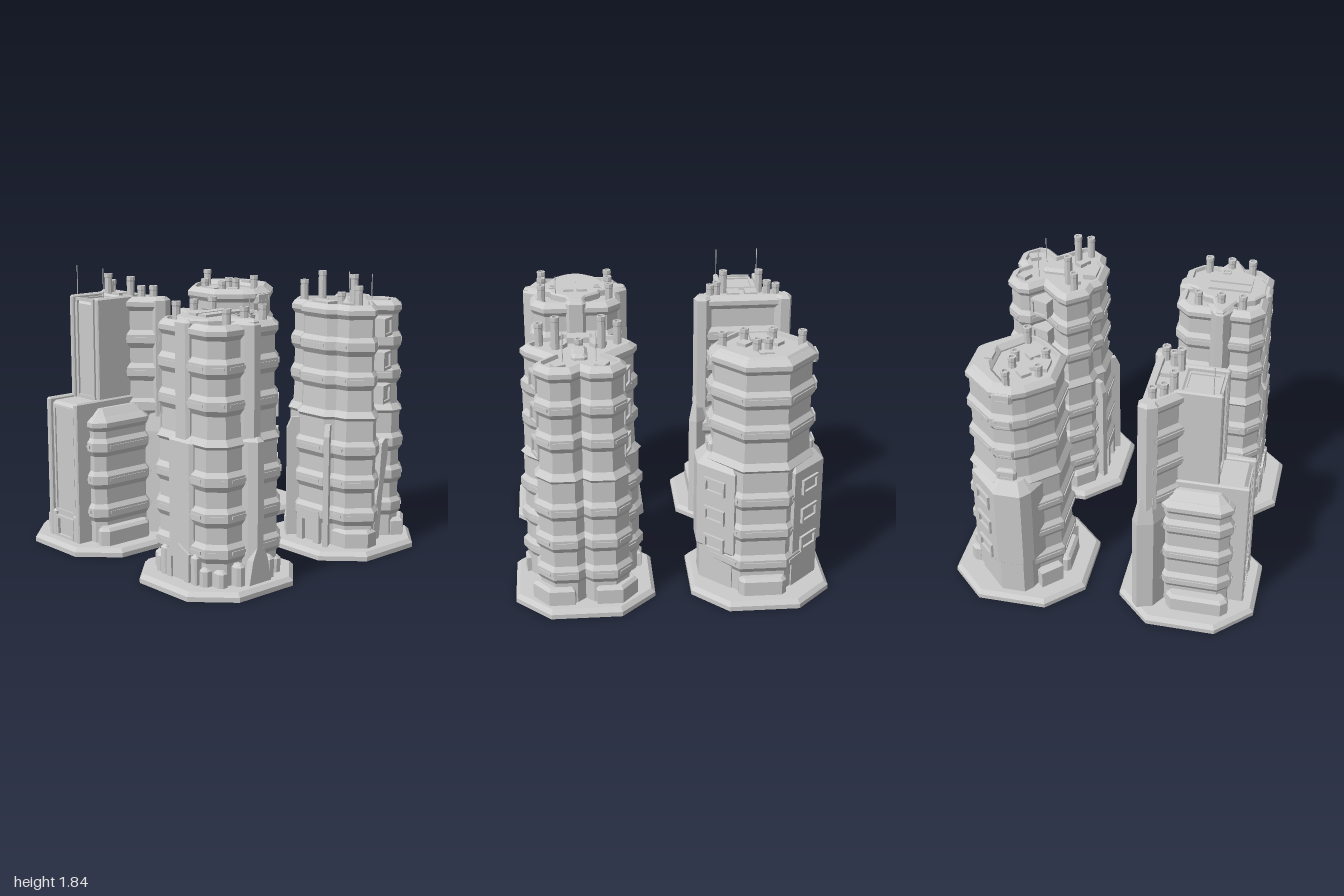
import * as THREE from 'three';

const mat = new THREE.MeshStandardMaterial({ color: 0xcccccc, flatShading: true, side: THREE.DoubleSide });

function add(g, name, geo) {
  const m = new THREE.Mesh(geo, mat);
  m.name = name;
  g.add(m);
  return m;
}

// mirror a half outline (x >= 0, listed back to front) into a closed outline
const sym = h => [...h, ...h.filter(p => p[0] > 0).reverse().map(([x, z]) => [-x, z])];

// rectangle with cut corners
function rect(x, z, hx, hz, c = 0.02) {
  return [[hx - c, -hz], [hx, c - hz], [hx, hz - c], [hx - c, hz], [c - hx, hz], [-hx, hz - c], [-hx, c - hz], [c - hx, -hz]]
    .map(([a, b]) => [a + x, b + z]);
}

// outward normal and length of each outline edge
function normals(p) {
  return p.map((a, i) => {
    const b = p[(i + 1) % p.length], l = Math.hypot(b[0] - a[0], b[1] - a[1]);
    return [(b[1] - a[1]) / l, (a[0] - b[0]) / l, l];
  });
}

// stack of rings: each level is [height, outward offset of the outline]
function loft(g, name, outline, levels) {
  const area = outline.reduce((s, a, i) => {
    const b = outline[(i + 1) % outline.length];
    return s + a[0] * b[1] - b[0] * a[1];
  }, 0);
  const p = area < 0 ? [...outline].reverse() : outline;
  const n = p.length, ns = normals(p), pos = [], idx = [];
  for (const [y, o] of levels) p.forEach((q, i) => {
    const a = ns[(i + n - 1) % n], b = ns[i], k = o / (1 + a[0] * b[0] + a[1] * b[1]);
    pos.push(q[0] + (a[0] + b[0]) * k, y, q[1] + (a[1] + b[1]) * k);
  });
  for (let r = 0; r < levels.length - 1; r++) for (let i = 0; i < n; i++) {
    const a = r * n + i, b = r * n + (i + 1) % n;
    idx.push(a, a + n, b + n, a, b + n, b);
  }
  const top = (levels.length - 1) * n;
  for (const [a, b, c] of THREE.ShapeUtils.triangulateShape(p.map(q => new THREE.Vector2(...q)), [])) {
    idx.push(a, b, c, top + a, top + c, top + b);
  }
  const geo = new THREE.BufferGeometry();
  geo.setAttribute('position', new THREE.Float32BufferAttribute(pos, 3));
  geo.setIndex(idx);
  const flat = geo.toNonIndexed();
  flat.computeVertexNormals();
  add(g, name, flat);
}

// upright block with a bevelled top
const block = (g, name, outline, y0, y1, b = 0.02) => loft(g, name, outline, [[y0, 0], [y1 - b, 0], [y1, -b]]);

function box(g, name, x, y, z, w, h, d, ry = 0) {
  const m = add(g, name, new THREE.BoxGeometry(w, h, d));
  m.position.set(x, y, z);
  m.rotation.y = ry;
}

// framed window or panel
function frame(g, name, x, y, z, w, h, ry = 0, t = 0.018, d = 0.015) {
  const s = new THREE.Shape([[-w, -h], [w, -h], [w, h], [-w, h]].map(q => new THREE.Vector2(q[0] / 2, q[1] / 2)));
  const a = w / 2 - t, b = h / 2 - t;
  s.holes.push(new THREE.Path([[-a, -b], [-a, b], [a, b], [a, -b]].map(q => new THREE.Vector2(...q))));
  const m = add(g, name, new THREE.ExtrudeGeometry(s, { depth: d, bevelEnabled: false }));
  m.position.set(x, y, z);
  m.rotation.y = ry;
  return m;
}

// extruded outline facing the front, or a side when turned
function plate(g, name, pts, depth, x, z, ry = 0) {
  const m = add(g, name, new THREE.ExtrudeGeometry(new THREE.Shape(pts.map(q => new THREE.Vector2(...q))), { depth, bevelEnabled: false }));
  m.position.set(x, 0, z);
  m.rotation.y = ry;
}

const F = 0.022;
const flare = (y, o) => [[y - 0.065, o], [y - 0.03, o + F], [y + 0.025, o + F], [y + 0.055, o]];

// ribbed floors with a sunken roof and a slot along every rib
function body(g, outline, low, ribsLow, ribsHigh, top) {
  const levels = [[0.05, low], ...ribsLow.flatMap(y => flare(y, low))];
  if (ribsHigh.length) levels.push([0.89, low], [0.91, low + 0.015], [0.95, 0.005], ...ribsHigh.flatMap(y => flare(y, 0)));
  const o = ribsHigh.length ? 0 : low;
  levels.push([top - 0.09, o], [top - 0.06, o + 0.02], [top - 0.03, o + 0.02], [top, o - 0.015], [top, o - 0.03], [top - 0.025, o - 0.035]);
  loft(g, 'ribbedBody', outline, levels);
  normals(outline).forEach(([nx, nz, l], i) => {
    if (l < 0.09) return;
    const a = outline[i], b = outline[(i + 1) % outline.length];
    for (const y of [...ribsLow, ...ribsHigh]) {
      const e = F + (y < 0.9 ? low : 0);
      box(g, 'ribSlot', (a[0] + b[0]) / 2 + nx * e, y, (a[1] + b[1]) / 2 + nz * e, l * 0.92, 0.02, 0.012, Math.atan2(nx, nz));
    }
  });
}

function chimney(g, x, z, y1, y0 = 1.58) {
  const r = 0.028;
  const pts = [[0, y0], [r * 0.92, y0], [r * 0.92, y1 - 0.03], [r, y1 - 0.025], [r, y1], [r * 0.6, y1], [r * 0.6, y1 - 0.015], [0, y1 - 0.015]];
  add(g, 'chimney', new THREE.LatheGeometry(pts.map(q => new THREE.Vector2(...q)), 8)).position.set(x, 0, z);
}

function antenna(g, x, z, y0, y1) {
  add(g, 'antenna', new THREE.CylinderGeometry(0.003, 0.003, y1 - y0, 5)).position.set(x, (y0 + y1) / 2, z);
}

function tower(root, name, x, z) {
  const g = new THREE.Group();
  g.name = name;
  g.position.set(x, 0, z);
  root.add(g);
  loft(g, 'base', rect(0, 0, 0.442, 0.442, 0.22), [[0, 0], [0.03, 0], [0.055, -0.025]]);
  return g;
}

const LOW = [0.26, 0.48, 0.7], HIGH = [1.15, 1.37], SIDES = [-1, 1];

// stepped tower with a tall front slab
function slabTower(root) {
  const g = tower(root, 'frontRightTower', -0.558, 0.558);
  body(g, sym([[0.27, -0.28], [0.29, -0.26], [0.29, -0.22], [0.13, -0.07]]), 0, [...LOW, 0.92], HIGH, 1.64);
  const wing = sym([[0.22, -0.16], [0.26, -0.12], [0.26, 0.2], [0.21, 0.26]]);
  body(g, wing, 0, LOW, [], 0.89);
  block(g, 'wingRoof', wing, 0.85, 0.94, 0.07);
  block(g, 'lowerSlab', rect(0, 0.1, 0.15, 0.24), 0.05, 0.97);
  block(g, 'upperSlab', rect(0, 0, 0.14, 0.15, 0.01), 0.9, 1.62);
  frame(g, 'lowerPanel', 0, 0.585, 0.335, 0.22, 0.72);
  frame(g, 'upperPanel', 0, 1.31, 0.147, 0.19, 0.66);
  frame(g, 'slabRoofRim', 0, 1.615, 0.03, 0.2, 0.22).rotation.x = -Math.PI / 2;
  frame(g, 'entrance', 0, 0.125, 0.335, 0.19, 0.15, 0, 0.02, 0.025);
  for (const s of SIDES) {
    block(g, 'lowerPillar', rect(s * 0.145, 0.11, 0.02, 0.255, 0.008), 0.05, 0.99, 0.01);
    block(g, 'upperPillar', rect(s * 0.135, 0.02, 0.018, 0.15, 0.008), 0.9, 1.65, 0.01);
    block(g, 'doorPost', rect(s * 0.115, 0.34, 0.02, 0.02, 0.005), 0.05, 0.24);
    block(g, 'sidePlinth', rect(s * 0.28, 0.08, 0.055, 0.2, 0.04), 0.05, 0.17);
    // corner buttress leaning back into the column above it
    loft(g, 'cornerButtress', [[s * 0.23, -0.27], [s * 0.31, -0.34], [s * 0.36, -0.3], [s * 0.33, -0.2], [s * 0.23, -0.14]],
      [[0.05, 0], [0.75, 0], [0.93, -0.03]]);
    block(g, 'cornerColumn', [[s * 0.2, -0.27], [s * 0.25, -0.315], [s * 0.31, -0.31], [s * 0.33, -0.25], [s * 0.3, -0.19], [s * 0.22, -0.2]], 0.85, 1.64);
    [[0.22, -0.24, 1.71], [0.17, -0.18, 1.71], [0.12, -0.13, 1.77]].forEach(([x, z, y]) => chimney(g, s * x, z, y));
    box(g, 'roofUnit', s * 0.06, 1.625, -0.19, 0.08, 0.04, 0.1);
    antenna(g, s * 0.14, 0.11, 1.63, 1.84);
  }
  block(g, 'backPlinth', rect(0, -0.29, 0.135, 0.05, 0.03), 0.05, 0.17);
}

// tower with flat columns on every side and pointed side fins
function finTower(root) {
  const g = tower(root, 'frontLeftTower', 0.558, 0.558);
  body(g, rect(0, -0.01, 0.28, 0.272, 0.075), 0.018, LOW, HIGH, 1.62);
  block(g, 'frontColumnLower', rect(0, 0.18, 0.11, 0.13), 0.05, 0.95, 0.04);
  block(g, 'frontColumnUpper', rect(0, 0.18, 0.065, 0.115), 0.9, 1.64);
  block(g, 'backColumnLower', rect(0, -0.2, 0.11, 0.13), 0.05, 0.95, 0.04);
  block(g, 'backColumnUpper', rect(0, -0.2, 0.065, 0.115), 0.9, 1.64);
  block(g, 'backPlinth', rect(0, -0.3, 0.12, 0.05, 0.03), 0.05, 0.17);
  block(g, 'roofPlate', sym([[0.045, -0.28], [0.07, -0.2], [0.16, -0.13], [0.17, -0.08], [0.34, -0.02], [0.34, 0.02], [0.19, 0.09], [0.14, 0.2], [0.06, 0.26]]), 1.57, 1.645, 0.012);
  // gabled entrance with stepped posts
  plate(g, 'gable', [[-0.1, 0.05], [-0.06, 0.05], [-0.06, 0.19], [0.06, 0.19], [0.06, 0.05], [0.1, 0.05], [0.1, 0.23], [0, 0.28], [-0.1, 0.23]], 0.02, 0, 0.305);
  for (const s of SIDES) {
    block(g, 'doorPost', rect(s * 0.14, 0.27, 0.028, 0.055, 0.01), 0.05, 0.24);
    block(g, 'stepPost', rect(s * 0.2, 0.265, 0.035, 0.045), 0.05, 0.17);
    for (const [y0, y1, r] of [[0.05, 0.95, 0.385], [0.9, 1.64, 0.35]]) {
      block(g, 'sideFin', [[s * 0.22, -0.1], [s * (r - 0.05), -0.06], [s * r, -0.025], [s * r, 0.025], [s * (r - 0.05), 0.06], [s * 0.22, 0.1]], y0, y1, 0.025);
    }
    plate(g, 'sideArch', [[-0.09, 0.05], [-0.025, 0.05], [0, 0.22], [0.025, 0.05], [0.09, 0.05], [0.06, 0.2], [0.03, 0.27], [-0.03, 0.27], [-0.06, 0.2]], 0.05, s * 0.335, 0, s * Math.PI / 2);
    for (const t of SIDES) {
      block(g, 'sidePost', rect(s * 0.31, t * 0.12, 0.05, 0.035), 0.05, 0.19);
      block(g, 'cornerPost', rect(s * 0.27, t * 0.22, 0.045, 0.035), 0.05, 0.16);
    }
    [-0.16, -0.01, 0.13].forEach(z => chimney(g, s * 0.225, z, 1.71));
    box(g, 'roofStrip', s * 0.045, 1.65, 0.02, 0.07, 0.02, 0.28);
    frame(g, 'roofHatch', s * 0.15, 1.64, -0.03, 0.045, 0.055, 0, 0.008).rotation.x = -Math.PI / 2;
  }
  antenna(g, 0.13, -0.14, 1.6, 1.76);
}

// hexagonal tower with wide lower shoulders and boxed windows
function wingTower(root) {
  const g = tower(root, 'backRightTower', -0.558, -0.558);
  body(g, sym([[0.13, -0.28], [0.3, -0.09], [0.3, 0.04], [0.26, 0.11], [0.13, 0.25]]), 0.02, LOW, HIGH, 1.62);
  block(g, 'backRoof', sym([[0.125, -0.28], [0.3, -0.09], [0.3, 0.03], [0.25, 0.0], [0.1, -0.14]]), 1.57, 1.635, 0.03);
  block(g, 'backPlinth', rect(0, -0.31, 0.15, 0.05, 0.03), 0.05, 0.17);
  block(g, 'frontPlinth', rect(0, 0.27, 0.13, 0.05), 0.05, 0.17);
  box(g, 'roofHatch', 0, 1.635, -0.18, 0.09, 0.02, 0.05);
  box(g, 'roofUnit', 0, 1.6, 0.14, 0.11, 0.04, 0.11);
  for (const s of SIDES) {
    const q = s * Math.PI / 2, c = s * Math.PI / 4;
    loft(g, 'sideShoulder', [[s * 0.15, -0.2], [s * 0.19, -0.275], [s * 0.39, -0.08], [s * 0.39, 0.08], [s * 0.33, 0.13], [s * 0.2, 0.18]],
      [[0.05, -0.01], [0.29, -0.01], [0.31, 0.01], [0.87, 0.01], [0.94, -0.055]]);
    [0.35, 0.55, 0.75].forEach(y => frame(g, 'shoulderWindow', s * 0.29, y, -0.18, 0.16, 0.1, Math.PI - c, 0.018, 0.025));
    // boxed windows up the side
    [0.98, 1.15, 1.37, 1.56].forEach(y => {
      block(g, 'windowBox', rect(s * 0.293, -0.02, 0.04, 0.065, 0.015), y - 0.035, y + 0.035);
      frame(g, 'windowFrame', s * 0.328, y, -0.02, 0.1, 0.05, q, 0.01, 0.01);
    });
    box(g, 'cornerPlinth', s * 0.235, 0.11, 0.21, 0.16, 0.12, 0.07, c);
    box(g, 'roofPanel', s * 0.1, 1.6, 0.06, 0.07, 0.03, 0.07, c);
    [[0.245, -0.01, 1.71], [0.09, 0.15, 1.67], [0.035, -0.03, 1.67]].forEach(([x, z, y]) => chimney(g, s * x, z, y));
  }
}

// three-lobed tower with window stacks in the notches and leaning buttresses
function lobeTower(root) {
  const g = tower(root, 'backLeftTower', 0.558, -0.558);
  const half = [[0, -0.265], [0.06, -0.32], [0.18, -0.32], [0.255, -0.24], [0.255, -0.18], [0.17, -0.09], [0.31, 0.05], [0.335, 0.1], [0.24, 0.215], [0.15, 0.225], [0.1, 0.27]];
  body(g, sym(half), 0.022, LOW, HIGH, 1.63);
  block(g, 'spine', rect(0, -0.05, 0.05, 0.09), 1.58, 1.64);
  box(g, 'frontRoofUnit', 0, 1.62, 0.19, 0.14, 0.04, 0.09);
  plate(g, 'entrance', [[-0.1, 0.05], [-0.05, 0.05], [-0.05, 0.2], [0.05, 0.2], [0.05, 0.05], [0.1, 0.05], [0.1, 0.25], [-0.1, 0.25]], 0.03, 0, 0.29);
  chimney(g, 0, 0.03, 1.68);
  for (const s of SIDES) {
    const ry = Math.atan2(s * 0.85, -0.3);
    const nx = Math.sin(ry), nz = Math.cos(ry);
    // boxed window stack
    [1.03, 1.25, 1.47].forEach(y => {
      box(g, 'windowBox', s * 0.215, y, -0.08, 0.13, 0.12, 0.13, ry);
      frame(g, 'windowFrame', s * 0.215 + nx * 0.064, y, -0.08 + nz * 0.064, 0.13, 0.12, ry);
    });
    // leaning buttress in the notch
    plate(g, 'leaningButtress', [[-0.01, 0.05], [-0.045, 0.35], [-0.06, 0.42], [-0.08, 0.7], [-0.11, 0.73], [-0.15, 0.72], [-0.135, 0.6], [-0.105, 0.42], [-0.095, 0.35], [-0.07, 0.05]],
      0.12, s > 0 ? 0.28 : -0.16, 0, -Math.PI / 2);
    // diagonal fins beside the entrance
    plate(g, 'frontFin', [[-0.06, 0.05], [0.05, 0.05], [0.05, 0.79], [0.02, 0.86], [-0.06, 0.86]], 0.035, s * 0.16, 0.285, s * 0.6 - Math.PI / 2);
    block(g, 'armPlinth', [[s * 0.16, 0.26], [s * 0.28, 0.26], [s * 0.38, 0.15], [s * 0.37, 0.06], [s * 0.2, 0.1]], 0.05, 0.17);
    block(g, 'rearPlinth', [[s * 0.05, -0.28], [s * 0.07, -0.375], [s * 0.23, -0.375], [s * 0.33, -0.25], [s * 0.29, -0.18]], 0.05, 0.17);
    box(g, 'rearHatch', s * 0.13, 1.615, -0.24, 0.07, 0.03, 0.07, s * 0.5);
    box(g, 'roofPanel', s * 0.12, 1.615, 0.1, 0.09, 0.03, 0.06, -s * 0.6);
    [[0.24, 0.13, 1.75], [0.14, 0.065, 1.81]].forEach(([x, z, y]) => chimney(g, s * x, z, y));
    antenna(g, s * 0.1, -0.15, 1.6, 1.79);
  }
}

export function createModel() {
  const root = new THREE.Group();
  root.name = 'towerBlocks';
  slabTower(root);
  finTower(root);
  wingTower(root);
  lobeTower(root);
  return root;
}
